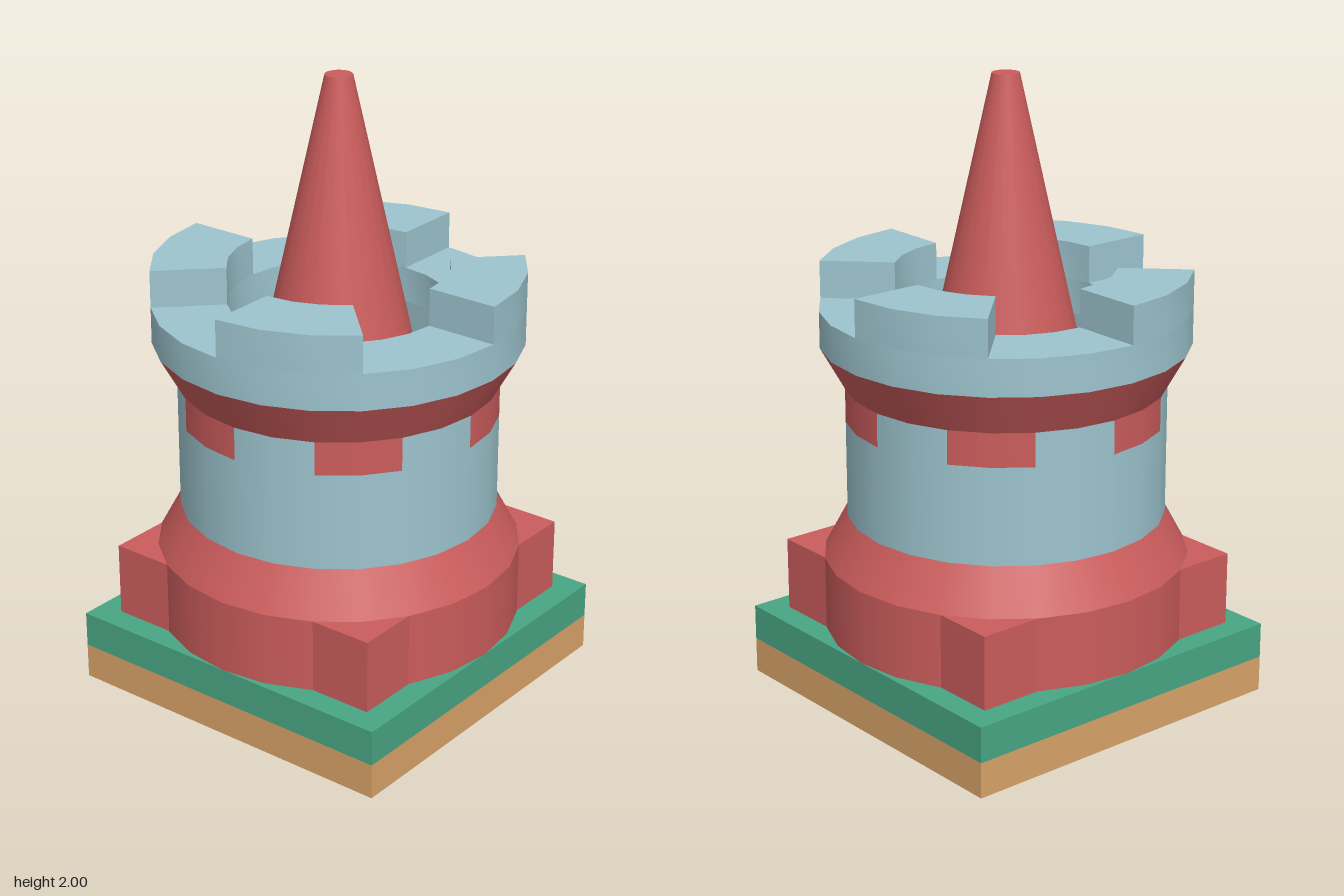
import * as THREE from 'three';
import { toCreasedNormals } from 'three/addons/utils/BufferGeometryUtils.js';

const SIDES = 24;
const STEP = (Math.PI * 2) / SIDES;
const mat = (color) => new THREE.MeshStandardMaterial({ color });

export function createModel() {
  const model = new THREE.Group();
  const red = mat(0xcb5c5c), blue = mat(0x9dc4ce), stone = mat(0x748f95);
  const green = mat(0x48a684), wood = mat(0xd9a368);

  const add = (name, geometry, material, y = 0, parent = model) => {
    const mesh = new THREE.Mesh(geometry, material);
    mesh.name = name;
    mesh.position.y = y;
    parent.add(mesh);
    return mesh;
  };

  const slab = (name, width, y0, y1, material) =>
    add(name, new THREE.BoxGeometry(width, y1 - y0, width), material, (y0 + y1) / 2);

  // Open tower wall between two heights, over a run of facets
  const wall = (name, r0, r1, y0, y1, material, first = 0, count = SIDES, parent = model) =>
    add(name, new THREE.CylinderGeometry(r1, r0, y1 - y0, count, 1, true, first * STEP, count * STEP),
      material, (y0 + y1) / 2, parent);

  // Points on a circle, from facet a to facet b
  const arc = (r, a, b) => {
    const pts = [];
    const dir = Math.sign(b - a);
    for (let i = a; i !== b + dir; i += dir) {
      pts.push(new THREE.Vector2(r * Math.sin(i * STEP), -r * Math.cos(i * STEP)));
    }
    return pts;
  };

  // Flat plan raised to a height, with smooth curved sides and sharp edges
  const raise = (shape, depth) => {
    const g = new THREE.ExtrudeGeometry(shape, { depth, bevelEnabled: false });
    g.rotateX(-Math.PI / 2);
    return toCreasedNormals(g, 0.5);
  };

  // Square plinth and the corner block
  slab('groundSlab', 1.16, 0, 0.115, wood);
  slab('grassSlab', 1.16, 0.115, 0.23, green);
  slab('cornerBlock', 1.0, 0.23, 0.468, red);

  // Round foot and tower body
  add('towerFoot', new THREE.CylinderGeometry(0.58, 0.58, 0.238, SIDES), red, 0.349);
  wall('footSlope', 0.58, 0.505, 0.468, 0.607, red);
  wall('towerBody', 0.505, 0.505, 0.607, 0.92, blue);

  // Band of alternating red and blue blocks under the flare
  const band = new THREE.Group();
  band.name = 'checkerBand';
  model.add(band);
  for (let i = 0; i < 12; i++) {
    wall(i % 2 ? 'bandGap' : 'bandBlock', 0.505, 0.505, 0.92, 1.028,
      i % 2 ? blue : red, i * 2, 2, band);
  }
  wall('flare', 0.505, 0.58, 1.028, 1.163, red);

  // Parapet ring with a sunken floor
  const ring = new THREE.Shape(arc(0.58, 0, SIDES - 1));
  ring.holes.push(new THREE.Path(arc(0.345, 0, SIDES - 1)));
  add('parapetRing', raise(ring, 0.117), blue, 1.163);
  const floor = new THREE.CircleGeometry(0.35, SIDES);
  floor.rotateX(-Math.PI / 2);
  add('parapetFloor', floor, stone, 1.166);

  // Four merlons, each an eighth of the ring
  for (let i = 0; i < 4; i++) {
    const a = i * 6;
    const plan = new THREE.Shape([...arc(0.58, a, a + 3), ...arc(0.345, a + 3, a)]);
    add('merlon', raise(plan, 0.12), blue, 1.28);
  }

  // Tapered spire
  add('spire', new THREE.CylinderGeometry(0.043, 0.23, 0.837, SIDES), red, 1.5815);

  return model;
}
